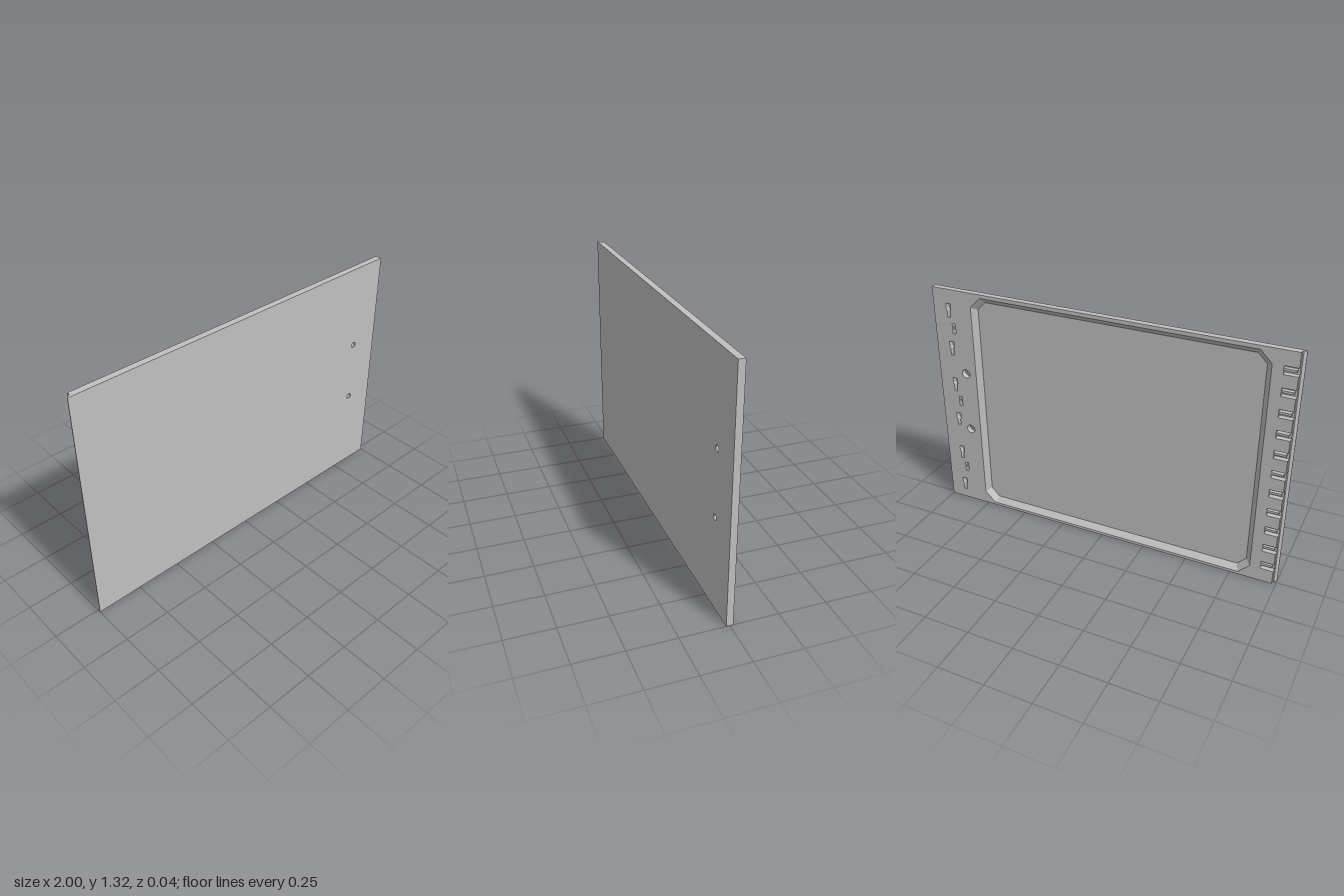
import * as THREE from 'three';

const H = 1.315;            // panel height
const FRONT = 0.0175, BACK = -0.0175, FLOOR = 0.011; // z planes
const LEFT = -0.98;         // back edge of the notched side

const path = (pts) => pts.map(([x, y]) => new THREE.Vector2(x, y));
const holePath = (pts) => new THREE.Path(path(pts));

// rectangle with cut corners, counter-clockwise
function octagon(x0, x1, y0, y1, c) {
  return [[x0 + c, y0], [x1 - c, y0], [x1, y0 + c], [x1, y1 - c],
    [x1 - c, y1], [x0 + c, y1], [x0, y1 - c], [x0, y0 + c]];
}

function circle(x, y, r) {
  const p = new THREE.Path();
  p.absarc(x, y, r, 0, Math.PI * 2, true);
  return p;
}

function rect(x, y, w, h) {
  return [[x - w / 2, y - h / 2], [x + w / 2, y - h / 2], [x + w / 2, y + h / 2], [x - w / 2, y + h / 2]];
}

// plate between two z planes
function plate(shape, z0, z1) {
  const g = new THREE.ExtrudeGeometry(shape, { depth: z1 - z0, bevelEnabled: false, curveSegments: 12 });
  return g.translate(0, 0, z0);
}

// sloping band between two loops of equal length
function band(a, za, b, zb) {
  const pos = [];
  a.forEach((p, i) => {
    const j = (i + 1) % a.length;
    const A = [...p, za], B = [...a[j], za], C = [...b[j], zb], D = [...b[i], zb];
    pos.push(...A, ...C, ...B, ...A, ...D, ...C);
  });
  const g = new THREE.BufferGeometry();
  g.setAttribute('position', new THREE.Float32BufferAttribute(pos, 3));
  g.computeVertexNormals();
  return g;
}

export function createModel() {
  const model = new THREE.Group();
  model.name = 'panel';
  const grey = new THREE.MeshStandardMaterial({ color: 0xc0c0c0, side: THREE.DoubleSide });
  grey.name = 'grey';
  const add = (name, geometry, parent = model) => {
    const m = new THREE.Mesh(geometry, grey);
    m.name = name;
    parent.add(m);
    return m;
  };
  const holes = [0.836, 0.486];

  // smooth front skin with two round holes
  const skin = new THREE.Shape(path([[LEFT, 0], [1, 0], [1, H], [LEFT, H]]));
  holes.forEach((y) => skin.holes.push(circle(0.83, y, 0.016)));
  add('frontSkin', plate(skin, FLOOR, FRONT));

  // tapered lip along the notched side
  const lip = new THREE.Shape(path([[-1, -FRONT], [LEFT, -FRONT], [LEFT, -0.002], [-0.986, -0.002], [-1, -0.013]]));
  const lipGeo = new THREE.ExtrudeGeometry(lip, { depth: H, bevelEnabled: false });
  add('sideLip', lipGeo.rotateX(-Math.PI / 2));

  // back layer: outline with open notches along one side
  const notchYs = Array.from({ length: 11 }, (_, i) => 0.1 + i * 0.1115);
  const outline = [[LEFT, 0], [1, 0], [1, H], [LEFT, H]];
  [...notchYs].reverse().forEach((y) => {
    outline.push([LEFT, y + 0.022], [-0.91, y + 0.022], [-0.91, y - 0.022], [LEFT, y - 0.022]);
  });
  const back = new THREE.Shape(path(outline));

  // recess, key slots, small slots and counterbores
  const rim = octagon(-0.855, 0.765, 0.016, H - 0.02, 0.06);
  back.holes.push(holePath(rim));
  for (let i = 0; i < 6; i++) {
    const y = 1.195 - i * 0.2205, x = 0.907;
    back.holes.push(holePath([[x - 0.009, y - 0.04], [x + 0.009, y - 0.04], [x + 0.009, y],
      [x + 0.014, y + 0.008], [x + 0.014, y + 0.04], [x - 0.014, y + 0.04], [x - 0.014, y + 0.008], [x - 0.009, y]]));
  }
  const slotYs = [1.093, 0.655, 0.217];
  slotYs.forEach((y) => back.holes.push(holePath(rect(0.882, y, 0.02, 0.058))));
  holes.forEach((y) => back.holes.push(circle(0.83, y, 0.025)));
  add('backLayer', plate(back, BACK, FLOOR));

  // sloping walls of the recess
  const floor = octagon(-0.827, 0.737, 0.046, H - 0.05, 0.048);
  add('recessWall', band(rim, BACK, floor, FLOOR));

  // rib inside each notch
  const ribs = new THREE.Group();
  ribs.name = 'notchRibs';
  model.add(ribs);
  notchYs.forEach((y) => {
    add('notchRib', new THREE.BoxGeometry(0.06, 0.012, 0.022).translate(-0.94, y, 0), ribs);
  });

  // bridge across each small slot
  slotYs.forEach((y) => {
    add('slotBridge', new THREE.BoxGeometry(0.02, 0.014, 0.018).translate(0.882, y, 0.002));
  });
  return model;
}
